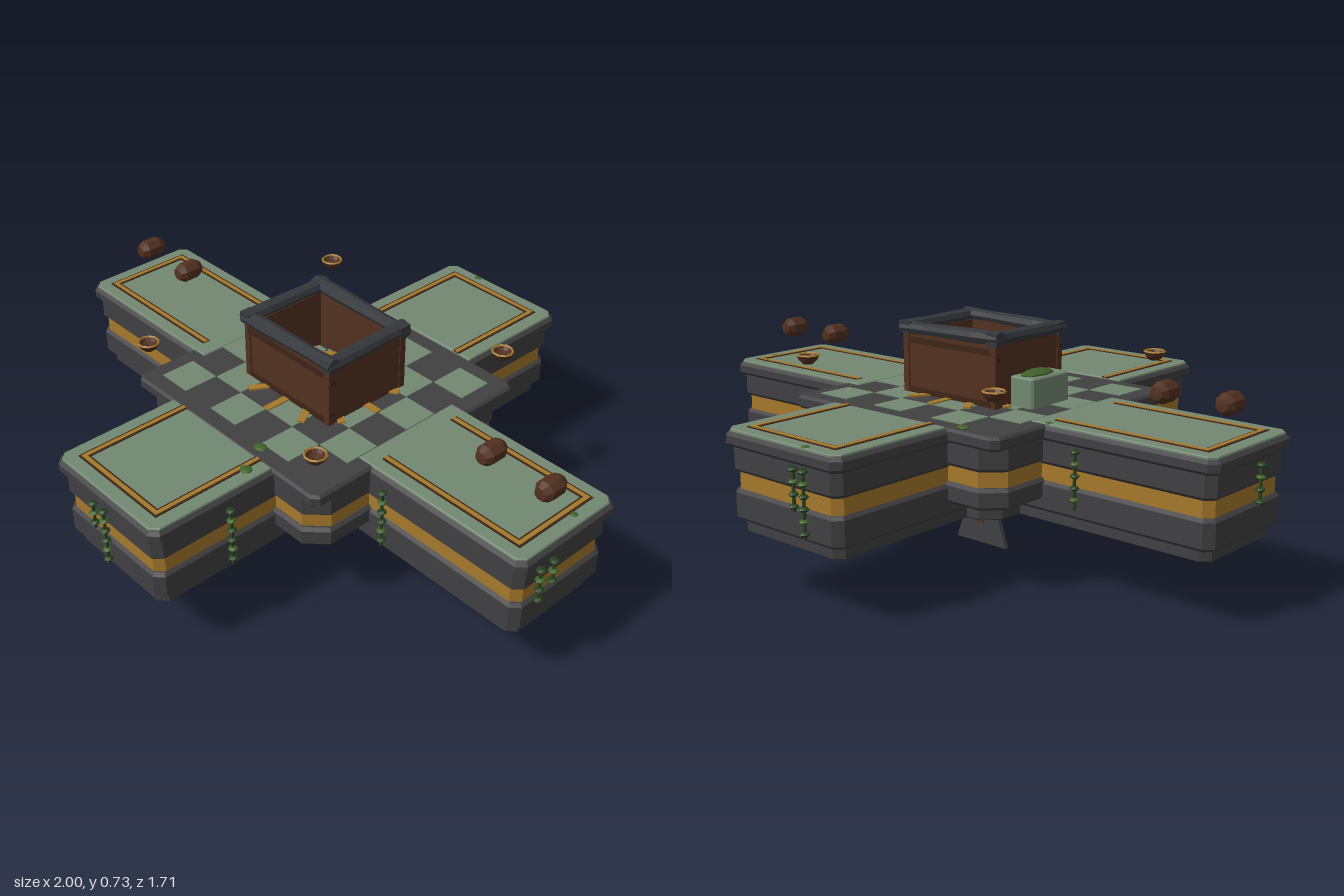
import * as THREE from 'three';

const mat = (name, color, extra = {}) => {
  const m = new THREE.MeshStandardMaterial({ color, flatShading: true, ...extra });
  m.name = name;
  return m;
};

export function createModel() {
  const stone = mat('dark stone', 0x404042);
  const slate = mat('slate rim', 0x34373b);
  const jade = mat('pale green stone', 0x728871);
  const gold = mat('aged gold', 0xa5782a);
  const wood = mat('brown wood', 0x52301f, { side: THREE.DoubleSide });
  const darkWood = mat('dark wood', 0x3c2416);
  const moss = mat('moss', 0x3f6228);
  const vine = mat('vine green', 0x27441f);

  const model = new THREE.Group();
  const add = (name, geo, material, x = 0, y = 0, z = 0, parent = model) => {
    const m = new THREE.Mesh(geo, material);
    m.name = name;
    m.position.set(x, y, z);
    parent.add(m);
    return m;
  };
  const box = (name, w, h, d, material, x, y, z, parent) =>
    add(name, new THREE.BoxGeometry(w, h, d), material, x, y, z, parent);

  // Upright prism over a plan outline, with a small bevel
  const prism = (points, y0, y1, b) => {
    const shape = new THREE.Shape(points.map(([x, y]) => new THREE.Vector2(x, y)));
    const g = new THREE.ExtrudeGeometry(shape, {
      depth: y1 - y0 - 2 * b, bevelEnabled: b > 0, bevelSize: b, bevelThickness: b,
      bevelOffset: -b, bevelSegments: 1,
    });
    return g.rotateX(-Math.PI / 2).translate(0, y0 + b, 0);
  };
  const chamfered = (a, d, c) => [
    [a, c - d], [a, d - c], [a - c, d], [c - a, d], [-a, d - c], [-a, c - d], [c - a, -d], [a - c, -d],
  ];

  // Stacked courses of the crossed beams and of the central square
  const courses = [
    ['footing', 0.2, 0.25, 0.035, stone, 0.002],
    ['lowerWall', 0.235, 0.328, 0.015, stone, 0.01],
    ['goldBand', 0.32, 0.385, 0.025, gold, 0.002],
    ['upperWall', 0.377, 0.46, 0.015, stone, 0.01],
    ['cornice', 0.452, 0.495, 0, stone, 0.01],
  ];
  for (const [a, d] of [[0.985, 0.205], [0.24, 0.842]]) {
    for (const [name, y0, y1, inset, m, b] of courses) {
      add(name, prism(chamfered(a - inset, d - inset, 0.025), y0, y1, b), m);
    }
  }
  const square = [
    ['squareFooting', 0.2, 0.285, 0.3, 0.05, stone, 0.004],
    ['squareLowerWall', 0.272, 0.336, 0.402, 0.06, stone, 0.01],
    ['squareGoldBand', 0.328, 0.392, 0.39, 0.06, gold, 0.002],
    ['squareUpperWall', 0.384, 0.465, 0.402, 0.06, stone, 0.01],
    ['squareCornice', 0.458, 0.499, 0.418, 0.02, stone, 0.008],
  ];
  for (const [name, y0, y1, a, c, m, b] of square) {
    add(name, prism(chamfered(a, a, c), y0, y1, b), m);
  }

  // Green paving of each arm with an inlaid border, built along +x and turned
  const arms = [
    [0, 0.36, 0.975, 0.195, 0.142, 0.92], [Math.PI, 0.36, 0.975, 0.195, 0.142, 0.92],
    [Math.PI / 2, 0.415, 0.832, 0.23, 0.173, 0.778], [-Math.PI / 2, 0.415, 0.832, 0.23, 0.173, 0.778],
  ];
  for (const [angle, start, end, w, inlay, inlayEnd] of arms) {
    const arm = new THREE.Group();
    arm.name = 'armPaving';
    arm.rotation.y = angle;
    model.add(arm);
    const c = 0.022;
    add('pavingSlab', prism([[start, -w], [end - c, -w], [end, c - w], [end, w - c], [end - c, w], [start, w]],
      0.488, 0.503, 0.003), jade, 0, 0, 0, arm);
    for (const [m, t, y] of [[darkWood, 0.026, 0.503], [gold, 0.013, 0.505]]) {
      const len = inlayEnd - 0.415 + t / 2;
      for (const s of [-1, 1]) box('inlaySide', len, 0.004, t, m, 0.415 + len / 2, y, s * inlay, arm);
      box('inlayEnd', t, 0.004, 2 * inlay, m, inlayEnd, y, 0, arm);
    }
  }

  // Chequered floor
  for (let i = 0; i < 6; i++) {
    for (let j = 0; j < 6; j++) {
      if ((i + j) % 2) box('floorTile', 0.118, 0.006, 0.118, jade, -0.3 + i * 0.12, 0.499, -0.3 + j * 0.12);
    }
  }

  // Sun emblem in the floor, with its pointer
  add('sunDisc', new THREE.CylinderGeometry(0.155, 0.155, 0.008, 24), gold, 0, 0.502, 0);
  for (let k = 0; k < 12; k++) {
    const a = (k * Math.PI) / 6;
    const ray = box('sunRay', 0.09, 0.006, 0.024, gold, Math.cos(a) * 0.195, 0.503, Math.sin(a) * 0.195);
    ray.rotation.y = -a;
  }
  box('pointerShaft', 0.15, 0.008, 0.01, darkWood, -0.03, 0.511, 0);
  add('pointerHead', new THREE.ConeGeometry(0.026, 0.06, 6).rotateZ(-Math.PI / 2).scale(1, 0.4, 1), darkWood, 0.065, 0.512, 0);

  // Open wooden chest: walls, corner posts and rails
  for (const s of [-1, 1]) {
    box('chestLongWall', 0.37, 0.2, 0.025, wood, 0, 0.597, s * 0.14);
    box('chestEndWall', 0.03, 0.2, 0.28, wood, s * 0.173, 0.597, 0);
    box('chestBottomRail', 0.35, 0.018, 0.01, darkWood, 0, 0.51, s * 0.153);
    box('chestTopRail', 0.35, 0.018, 0.01, darkWood, 0, 0.668, s * 0.153);
    for (const t of [-1, 1]) {
      box('chestPost', 0.022, 0.19, 0.022, wood, s * 0.18, 0.594, t * 0.147);
      for (const y of [0.54, 0.65]) box('chestPeg', 0.008, 0.014, 0.014, darkWood, s * 0.191, y, t * 0.147);
    }
  }

  // Rough-hewn rim: slightly tilted logs with bulging middles
  const log = (len) => {
    const g = new THREE.CylinderGeometry(0.025, 0.025, len, 8, 4).rotateZ(Math.PI / 2);
    const p = g.attributes.position;
    for (let i = 0; i < p.count; i++) {
      const k = 1 + 0.1 * Math.sin(p.getX(i) * 45);
      p.setY(i, p.getY(i) * k * 0.85);
      p.setZ(i, p.getZ(i) * k);
    }
    g.computeVertexNormals();
    return g;
  };
  for (const s of [-1, 1]) {
    add('rimLongLog', log(0.4), slate, 0, 0.708, s * 0.145).rotation.z = s * 0.02;
    add('rimEndLog', log(0.33), slate, s * 0.18, 0.709, 0).rotation.y = Math.PI / 2 + s * 0.02;
    for (const t of [-1, 1]) box('rimCorner', 0.04, 0.036, 0.04, slate, s * 0.182, 0.708, t * 0.145);
  }

  // Mossy block beside the chest
  add('sideBlock', prism(chamfered(0.045, 0.088, 0.006), 0.495, 0.592, 0.005), jade, -0.232, 0, 0);
  add('blockMoss', new THREE.SphereGeometry(1, 8, 5).scale(0.036, 0.018, 0.072), moss, -0.23, 0.59, -0.01);

  // Floating bowls over the corners of the square
  const bowl = [[0.001, 0.594], [0.016, 0.596], [0.029, 0.609], [0.036, 0.623], [0.03, 0.623], [0.022, 0.612], [0.001, 0.606]]
    .map(([r, y]) => new THREE.Vector2(r, y));
  for (const x of [-0.385, 0.385]) {
    for (const z of [-0.385, 0.385]) {
      add('bowl', new THREE.LatheGeometry(bowl, 10), wood, x, 0, z);
      add('bowlRim', new THREE.TorusGeometry(0.032, 0.004, 4, 10).rotateX(Math.PI / 2), gold, x, 0.623, z);
    }
  }

  // Floating faceted nuggets over the side arms
  const nugget = [[0, -0.047], [0.02, -0.045], [0.033, -0.025], [0.033, 0.025], [0.02, 0.045], [0, 0.047]]
    .map(([r, y]) => new THREE.Vector2(r, y));
  for (const x of [-0.897, -0.685, 0.685, 0.897]) {
    add('nugget', new THREE.LatheGeometry(nugget, 8, Math.PI / 8).rotateX(Math.PI / 2), wood, x, 0.603, 0);
  }

  // Hanging plate under the centre, with a small downward pointer
  const plate = (wt, wb, y0, y1, t) => {
    const s = new THREE.Shape([[-wb, y0], [wb, y0], [wt, y1], [-wt, y1]].map(([x, y]) => new THREE.Vector2(x, y)));
    return new THREE.ExtrudeGeometry(s, { depth: 2 * t, bevelEnabled: false }).translate(0, 0, -t);
  };
  add('hangingPlate', plate(0.055, 0.104, 0, 0.14, 0.007), stone);
  add('plateNeck', plate(0.036, 0.055, 0.14, 0.21, 0.007), jade);
  add('plateSpine', plate(0.012, 0.032, 0.13, 0.21, 0.009), stone);
  for (const s of [-1, 1]) {
    box('platePointerShaft', 0.008, 0.06, 0.005, wood, 0, 0.11, s * 0.009);
    add('platePointerHead', new THREE.ConeGeometry(0.014, 0.035, 6).scale(1, 1, 0.4), wood, 0, 0.08, s * 0.008);
  }

  // Vines hanging on the walls: x, z, top, bottom
  const vines = [
    [-0.05, 0.842, 0.45, 0.35], [0, 0.842, 0.45, 0.25], [0.24, 0.575, 0.45, 0.24], [-0.24, 0.48, 0.45, 0.25],
    [0.47, 0.206, 0.45, 0.24], [-0.53, -0.206, 0.45, 0.27], [0.985, 0.065, 0.45, 0.36], [0.985, 0.12, 0.45, 0.32],
    [-0.985, 0.03, 0.45, 0.32], [-0.11, -0.842, 0.45, 0.25], [-0.07, -0.842, 0.45, 0.32],
  ];
  const leaf = new THREE.OctahedronGeometry(1, 1).scale(0.015, 0.008, 0.015);
  for (const [x, z, top, bottom] of vines) {
    box('vineStem', 0.007, top - bottom, 0.007, vine, x, (top + bottom) / 2, z);
    for (let y = top - 0.01, k = 0; y > bottom; y -= 0.035, k++) {
      add('vineLeaf', leaf, k % 3 === 1 ? moss : vine, x, y, z);
    }
  }

  // Moss tufts on the paving: x, z, radius
  for (const [x, z, r] of [[0.135, 0.375, 0.022], [0.185, 0.475, 0.024], [-0.27, -0.385, 0.02],
    [0.94, -0.06, 0.014], [-0.42, -0.185, 0.013], [-0.1, -0.82, 0.014]]) {
    add('mossTuft', new THREE.IcosahedronGeometry(r, 1).scale(1, 0.3, 0.85), moss, x, 0.502, z);
  }
  return model;
}
